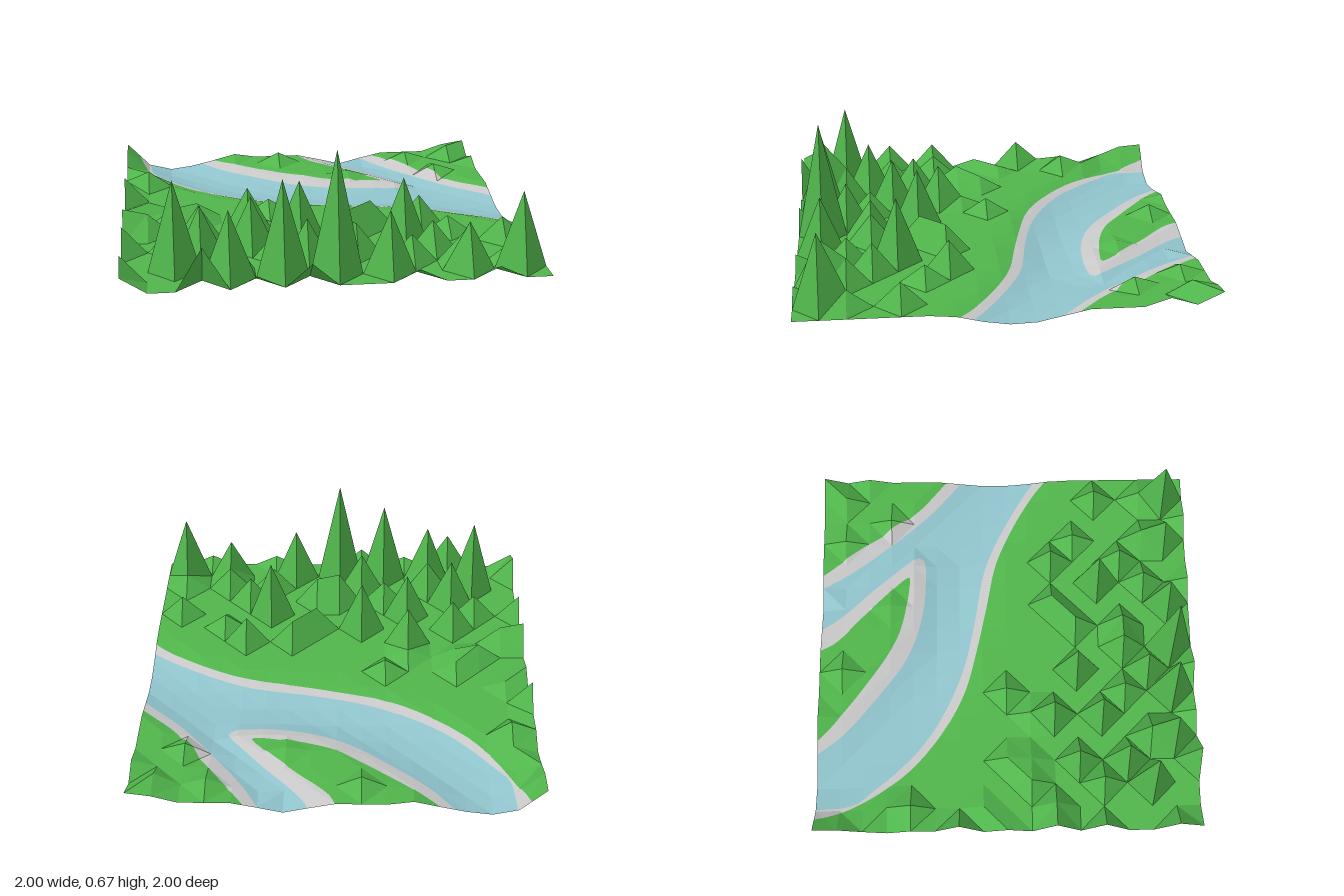
import * as THREE from 'three';

const N = 16, STEP = 2 / N;

// Raised points per grid row, back to front: [column, height]
const PEAKS = [
  [[0, .16], [5, .08], [15, .1], [16, .12]],
  [[0, .15], [7, .12], [13, .1], [15, .13]],
  [[0, .1], [16, .1]],
  [[1, .1], [10, .08], [14, .1]],
  [[0, .1], [1, .15]],
  [[0, .09]],
  [[0, .2]],
  [[1, .1]],
  [[0, .1], [3, .13], [6, .14]],
  [[2, .15], [3, .12], [5, .11]],
  [[0, .2], [1, .17], [5, .29], [10, .2], [12, .22]],
  [[3, .25], [7, .36], [9, .2], [13, .15]],
  [[0, .2], [2, .2], [5, .33], [11, .4], [15, .18]],
  [[3, .34], [6, .2], [8, .25], [9, .22], [12, .22]],
  [[2, .51], [4, .25], [7, .3], [11, .2], [13, .2], [15, .15]],
  [[0, .2], [4, .4], [6, .54], [8, .67], [10, .37], [13, .3], [15, .44]],
  [[0, .14], [3, .27], [5, .12], [7, .17], [11, .12], [14, .12]],
];

// Smooth closed outline made from several curved shores
function outline(...shores) {
  return shores.flatMap((pts) =>
    new THREE.SplineCurve(pts.map(([x, z]) => new THREE.Vector2(x, z))).getPoints(pts.length * 3));
}

// Outer edge of the pale banks: near shore, far shore, spit
const bankEdge = outline(
  [[-1, -1.3], [-.93, -1], [-.89, -.87], [-.8, -.69], [-.66, -.5], [-.45, -.33], [-.24, -.22], [0, -.155],
    [.25, -.1], [.49, -.05], [.7, .04], [.89, .15], [1, .235], [1.3, .5]],
  [[1.3, -.04], [1, -.32], [.83, -.47], [.7, -.64], [.57, -.83], [.44, -1], [.25, -1.3]],
  [[-.1, -1.3], [0, -1], [.06, -.9], [.17, -.8], [.3, -.67], [.42, -.545], [.41, -.52], [.17, -.555],
    [0, -.62], [-.18, -.74], [-.34, -.86], [-.5, -1], [-.75, -1.3]],
);

// Edge of the water, same order
const waterEdge = outline(
  [[-.9, -1.3], [-.87, -1], [-.85, -.81], [-.77, -.7], [-.69, -.6], [-.55, -.46], [-.37, -.34], [-.13, -.235],
    [.14, -.17], [.43, -.12], [.62, -.05], [.83, .06], [1, .17], [1.3, .4]],
  [[1.3, .04], [1, -.24], [.8, -.42], [.62, -.63], [.47, -.83], [.37, -1], [.2, -1.3]],
  [[0, -1.3], [.13, -1], [.22, -.87], [.35, -.73], [.46, -.6], [.545, -.49], [.52, -.44], [.3, -.44],
    [.11, -.475], [-.07, -.55], [-.26, -.69], [-.45, -.85], [-.57, -1], [-.8, -1.3]],
);

// Signed distance to an outline, negative inside
function signedDistance(poly, x, z) {
  let best = Infinity, inside = false;
  for (let i = 0, j = poly.length - 1; i < poly.length; j = i++) {
    const a = poly[j], b = poly[i], dx = b.x - a.x, dz = b.y - a.y;
    const t = THREE.MathUtils.clamp(((x - a.x) * dx + (z - a.y) * dz) / (dx * dx + dz * dz || 1), 0, 1);
    best = Math.min(best, Math.hypot(x - a.x - t * dx, z - a.y - t * dz));
    if ((a.y > z) !== (b.y > z) && x < a.x + ((z - a.y) / dz) * dx) inside = !inside;
  }
  return inside ? -best : best;
}

// Cut a polygon where a field changes sign; returns [outside, inside]
function split(poly, edge) {
  const f = poly.map((p) => signedDistance(edge, p.x, p.z));
  const out = [], inn = [];
  poly.forEach((p, i) => {
    const k = (i + 1) % poly.length;
    (f[i] >= 0 ? out : inn).push(p);
    if ((f[i] >= 0) !== (f[k] >= 0)) {
      const q = p.clone().lerp(poly[k], f[i] / (f[i] - f[k]));
      out.push(q);
      inn.push(q);
    }
  });
  return [out, inn];
}

export function createModel() {
  const group = new THREE.Group();
  group.name = 'riverValley';

  // Terrain grid: flat ground sinking into the river bed, then the peaks
  const grid = [];
  for (let j = 0; j <= N; j++) {
    grid.push([]);
    for (let i = 0; i <= N; i++) {
      const x = -1 + i * STEP, z = -1 + j * STEP;
      const y = .06 * THREE.MathUtils.clamp((signedDistance(waterEdge, x, z) + .1) / .2, 0, 1);
      grid[j].push(new THREE.Vector3(x, y, z));
    }
    for (const [i, h] of PEAKS[j]) grid[j][i].y = h;
  }

  const faces = { grass: [], bank: [], water: [] };
  const addPolygon = (list, poly) => {
    for (let i = 1; i + 1 < poly.length; i++) {
      for (const p of [poly[0], poly[i], poly[i + 1]]) list.push(p.x, p.y, p.z);
    }
  };

  // Sort a piece of ground into grass, bank and water
  const paint = (tri) => {
    const [grass, river] = split(tri, bankEdge);
    const [bank, water] = split(river, waterEdge);
    addPolygon(faces.grass, grass);
    addPolygon(faces.bank, bank);
    addPolygon(faces.water, water);
  };

  // Divide each facet finely so the shores follow their curves
  const facet = (a, b, c) => {
    const S = 4;
    const at = (u, v) => a.clone().multiplyScalar((S - u - v) / S).addScaledVector(b, u / S).addScaledVector(c, v / S);
    if ([a, b, c].every((p) => signedDistance(bankEdge, p.x, p.z) > .2)) {
      addPolygon(faces.grass, [a, b, c]);
      return;
    }
    for (let u = 0; u < S; u++) {
      for (let v = 0; u + v < S; v++) {
        paint([at(u, v), at(u + 1, v), at(u, v + 1)]);
        if (u + v < S - 1) paint([at(u + 1, v), at(u + 1, v + 1), at(u, v + 1)]);
      }
    }
  };

  // Each cell is folded along its shorter diagonal
  for (let j = 0; j < N; j++) {
    for (let i = 0; i < N; i++) {
      const a = grid[j][i], b = grid[j][i + 1], c = grid[j + 1][i], d = grid[j + 1][i + 1];
      if (b.distanceTo(c) <= a.distanceTo(d)) {
        facet(a, c, b);
        facet(b, c, d);
      } else {
        facet(a, c, d);
        facet(a, d, b);
      }
    }
  }

  const colors = { grass: 0x50b54b, bank: 0xc8c8c8, water: 0x90c3cc };
  for (const [name, positions] of Object.entries(faces)) {
    const material = new THREE.MeshStandardMaterial({ color: colors[name], side: THREE.DoubleSide, flatShading: true });
    material.name = name;
    const geometry = new THREE.BufferGeometry();
    geometry.setAttribute('position', new THREE.Float32BufferAttribute(positions, 3));
    geometry.computeVertexNormals();
    const mesh = new THREE.Mesh(geometry, material);
    mesh.name = name;
    group.add(mesh);
  }
  return group;
}
